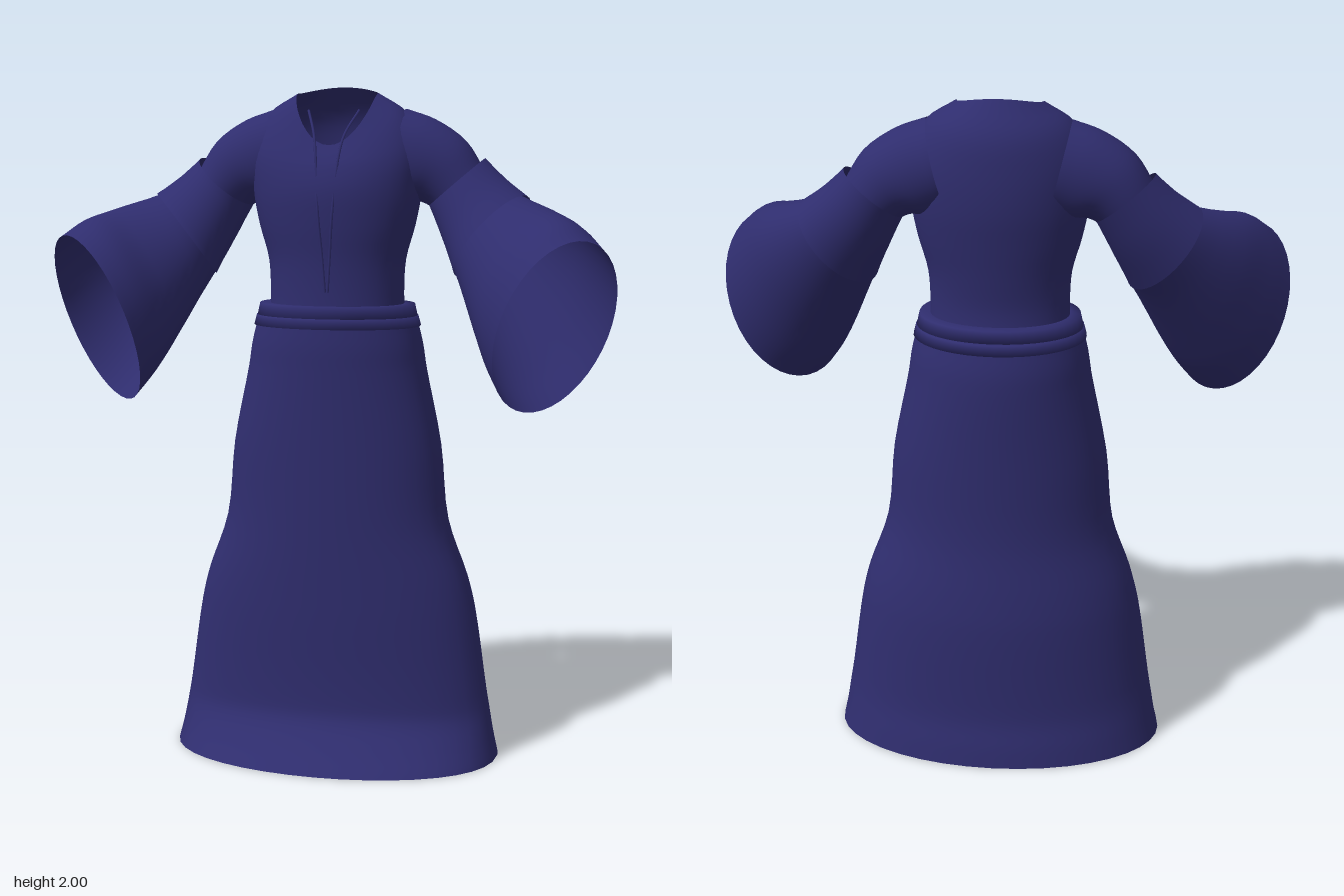
import * as THREE from 'three';

const N = 40; // points around every ring

// Smooth skin through closed rings, each an array of N points
function loft(name, rings, material, steps = 4) {
  const pos = [], index = [];
  const rows = (rings.length - 1) * steps + 1;
  const curves = rings[0].map((_, i) =>
    new THREE.CatmullRomCurve3(rings.map(r => r[i]), false, 'centripetal'));
  for (let r = 0; r < rows; r++)
    for (let i = 0; i < N; i++) pos.push(...curves[i].getPoint(r / (rows - 1)).toArray());
  for (let r = 0; r < rows - 1; r++)
    for (let i = 0; i < N; i++) {
      const a = r * N + i, b = r * N + (i + 1) % N;
      index.push(a, b, b + N, a, b + N, a + N);
    }
  const g = new THREE.BufferGeometry();
  g.setAttribute('position', new THREE.Float32BufferAttribute(pos, 3));
  g.setIndex(index);
  g.computeVertexNormals();
  const mesh = new THREE.Mesh(g, material);
  mesh.name = name;
  return mesh;
}

// Body ring: half width, front and back depth, height at side / front / back
function bodyRing(y, w, front, back, yFront = y, yBack = y, zc = -0.05) {
  return Array.from({ length: N }, (_, i) => {
    const t = i / N * Math.PI * 2, c = Math.cos(t);
    const z = c > 0 ? zc + (front - zc) * Math.pow(c, 0.85) : zc + (zc - back) * c;
    const h = c > 0 ? y + (yFront - y) * Math.pow(c, 1.5) : y + (yBack - y) * c * c;
    return new THREE.Vector3(w * Math.sin(t), h, z);
  });
}

// Tilted elliptical ring from a centre and two half axes; side mirrors x
function tiltRing(side, c, u, v) {
  return Array.from({ length: N }, (_, i) => {
    const t = side * i / N * Math.PI * 2, a = Math.cos(t), b = Math.sin(t);
    const p = [0, 1, 2].map(k => c[k] + u[k] * a + v[k] * b);
    return new THREE.Vector3(side * p[0], p[1], p[2]);
  });
}

export function createModel() {
  const group = new THREE.Group();
  const cloth = new THREE.MeshStandardMaterial({ color: 0x2f2d6e, side: THREE.DoubleSide });

  // Long skirt with a flared hem
  group.add(loft('skirt', [
    [0, 0.5, 0.26, -0.325],
    [0.06, 0.487, 0.195, -0.315],
    [0.13, 0.475, 0.14, -0.3],
    [0.2, 0.463, 0.13, -0.295],
    [0.45, 0.425, 0.13, -0.29],
    [0.55, 0.4, 0.13, -0.28],
    [0.72, 0.34, 0.13, -0.258],
    [0.95, 0.315, 0.13, -0.255],
    [1.18, 0.268, 0.13, -0.255],
    [1.25, 0.257, 0.13, -0.25],
    [1.32, 0.24, 0.125, -0.235],
  ].map(a => bodyRing(...a)), cloth));

  // Two stepped waistband folds
  const band = (name, y0, y1, w, f, b) => group.add(loft(name, [
    bodyRing(y0, w - 0.03, f - 0.02, b + 0.03), bodyRing(y0, w, f, b),
    bodyRing(y1, w - 0.008, f - 0.003, b + 0.006), bodyRing(y1, w - 0.04, f - 0.025, b + 0.04),
  ], cloth, 1));
  band('lowerWaistband', 1.305, 1.335, 0.25, 0.135, -0.245);
  band('upperWaistband', 1.335, 1.37, 0.24, 0.128, -0.225);

  // Bodice up to the scooped neckline
  group.add(loft('bodice', [
    [1.28, 0.205, 0.105, -0.19],
    [1.4, 0.2, 0.1, -0.175],
    [1.5, 0.205, 0.102, -0.185],
    [1.6, 0.232, 0.112, -0.2],
    [1.7, 0.25, 0.115, -0.213],
    [1.83, 0.252, 0.1, -0.212, 1.765, 1.81],
    [1.925, 0.205, 0.083, -0.195, 1.8, 1.91],
    [1.98, 0.12, 0.065, -0.135, 1.83, 2.0],
  ].map(a => bodyRing(...a)), cloth));

  for (const side of [1, -1]) {
    const label = side > 0 ? 'left' : 'right';

    // Shoulder and upper arm
    group.add(loft(label + 'Shoulder', [
      [[0.17, 1.81, -0.08], [0.03, 0.125, 0], [0, 0, -0.115]],
      [[0.24, 1.785, -0.08], [0.045, 0.12, 0], [0, 0, -0.11]],
      [[0.31, 1.755, -0.08], [0.065, 0.088, 0], [0, 0, -0.1]],
      [[0.37, 1.69, -0.075], [0.065, 0.06, 0], [0, 0, -0.09]],
      [[0.42, 1.62, -0.05], [0.065, 0.06, 0], [0, 0, -0.085]],
    ].map(a => tiltRing(side, ...a)), cloth));

    // Upper band of the sleeve, a little wider than the arm
    group.add(loft(label + 'SleeveBand', [
      [[0.35, 1.725, -0.085], [0.08, 0.068, 0], [0, 0.01, -0.108]],
      [[0.405, 1.645, -0.06], [0.08, 0.09, 0.02], [0.03, 0.02, -0.118]],
      [[0.462, 1.57, -0.03], [0.074, 0.114, 0.04], [0.07, 0.03, -0.124]],
    ].map(a => tiltRing(side, ...a)), cloth));

    // Wide bell sleeve opening forward
    group.add(loft(label + 'BellSleeve', [
      [[0.455, 1.575, -0.035], [0.069, 0.108, 0.038], [0.066, 0.03, -0.118]],
      [[0.56, 1.46, 0.065], [0.04, 0.165, 0.075], [0.12, 0.08, -0.113]],
      [[0.62, 1.39, 0.135], [0.01, 0.2, 0.1], [0.147, 0.105, -0.1]],
      [[0.67, 1.33, 0.19], [-0.01, 0.215, 0.11], [0.16, 0.115, -0.09]],
    ].map(a => tiltRing(side, ...a)), cloth));

    // Thin cord edging the front slit
    const cord = new THREE.CatmullRomCurve3([
      [0.075, 1.93, 0.0], [0.045, 1.86, 0.06], [0.034, 1.8, 0.088],
      [0.022, 1.65, 0.115], [0.012, 1.52, 0.105], [0.004, 1.41, 0.1],
    ].map(p => new THREE.Vector3(side * p[0], p[1], p[2])));
    const edge = new THREE.Mesh(new THREE.TubeGeometry(cord, 40, 0.004, 6), cloth);
    edge.name = label + 'SlitCord';
    group.add(edge);
  }
  return group;
}
